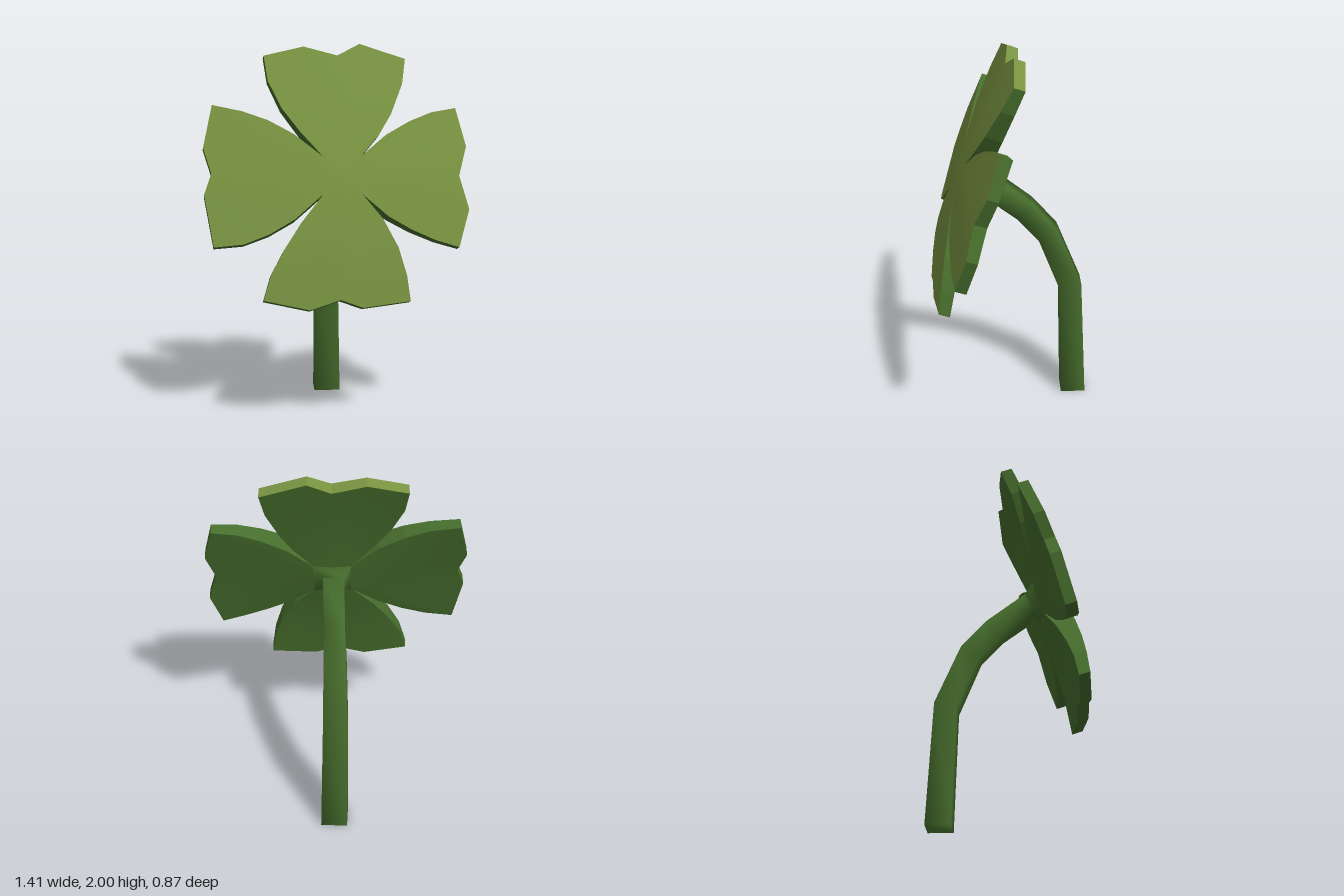
import * as THREE from 'three';

const CX = 0.02, CY = 1.32;
const NORMAL = new THREE.Vector3(0.06, 0.32, 0.94).normalize();

// Front leaf surface: a leaning, gently domed sheet, curled back more at the bottom
function frontPoint(x, y) {
  const dx = x - CX, dy = y - CY;
  const dome = 0.12 * dx * dx + 0.16 * dy * dy - 0.03 * dy ** 3;
  return new THREE.Vector3(x, y, 0.28 - 0.335 * dy - 0.068 * dx - dome);
}

// Back leaf surface: thick at the centre, thin at the tips
function backPoint(x, y) {
  const r = Math.hypot(x - CX, y - CY);
  return frontPoint(x, y).addScaledVector(NORMAL, -(0.15 - 0.13 * Math.min(r, 0.68)));
}

// Leaf outlines, clockwise from notch to notch; points 4 to 8 are the outer tip
const LEAVES = {
  topLeaf: [[-0.08, 1.425], [-0.195, 1.55], [-0.29, 1.67], [-0.36, 1.81], [-0.38, 1.94], [-0.167, 1.987],
    [0.013, 1.94], [0.135, 2.0], [0.38, 1.92], [0.358, 1.79], [0.29, 1.635], [0.225, 1.535], [0.125, 1.425]],
  leftLeaf: [[0.125, 1.425], [0.26, 1.53], [0.39, 1.597], [0.51, 1.64], [0.645, 1.66], [0.695, 1.46],
    [0.65, 1.31], [0.7, 1.135], [0.64, 0.942], [0.51, 0.985], [0.38, 1.045], [0.26, 1.115], [0.125, 1.23]],
  bottomLeaf: [[0.125, 1.23], [0.23, 1.105], [0.31, 0.955], [0.353, 0.81], [0.372, 0.675], [0.12, 0.65],
    [0.003, 0.695], [-0.157, 0.645], [-0.397, 0.698], [-0.358, 0.83], [-0.29, 0.955], [-0.2, 1.09], [-0.08, 1.235]],
  rightLeaf: [[-0.08, 1.235], [-0.23, 1.11], [-0.363, 1.035], [-0.496, 0.985], [-0.65, 0.97], [-0.698, 1.235],
    [-0.66, 1.34], [-0.702, 1.47], [-0.655, 1.687], [-0.496, 1.655], [-0.363, 1.61], [-0.23, 1.54], [-0.08, 1.425]],
};

function makeGeometry(points, index, flat = false) {
  let g = new THREE.BufferGeometry().setFromPoints(points);
  g.setIndex(index);
  if (flat) g = g.toNonIndexed();
  g.computeVertexNormals();
  return g;
}

// Sheet of concentric rings from the clover centre out to the outline
function sheet(outline, surface, isFront) {
  const pts = [surface(CX, CY)], idx = [], n = outline.length, rings = [0.3, 0.65, 1];
  const tri = (a, b, c) => (isFront ? idx.push(a, c, b) : idx.push(a, b, c));
  rings.forEach((t, k) => {
    for (const [x, y] of outline) pts.push(surface(CX + (x - CX) * t, CY + (y - CY) * t));
    const o = 1 + k * n, p = o - n;
    for (let i = 0; i < n - 1; i++) {
      if (k === 0) tri(0, o + i, o + i + 1);
      else {
        tri(p + i, o + i, o + i + 1);
        tri(p + i, o + i + 1, p + i + 1);
      }
    }
  });
  return makeGeometry(pts, idx);
}

// Edge band joining the front and back sheets
function rim(outline, from, to) {
  const pts = [], idx = [];
  for (let i = from; i <= to; i++) pts.push(frontPoint(...outline[i]), backPoint(...outline[i]));
  for (let i = 0; i < to - from; i++) {
    const a = 2 * i;
    idx.push(a, a + 2, a + 1, a + 1, a + 2, a + 3);
  }
  return makeGeometry(pts, idx, true);
}

// Square tube skinned over rings of four corners, with an optional end cap
function skin(rings, capped) {
  const idx = [], last = 4 * (rings.length - 1);
  for (let k = 0; k < rings.length - 1; k++) {
    for (let i = 0; i < 4; i++) {
      const a = 4 * k + i, b = 4 * k + (i + 1) % 4;
      idx.push(a, b, a + 4, b, b + 4, a + 4);
    }
  }
  if (capped) idx.push(last, last + 1, last + 2, last, last + 2, last + 3);
  return makeGeometry(rings.flat(), idx);
}

export function createModel() {
  const leafGreen = new THREE.MeshStandardMaterial({ color: 0x779240 });
  leafGreen.name = 'leafGreen';
  const stemGreen = new THREE.MeshStandardMaterial({ color: 0x476e2d });
  stemGreen.name = 'stemGreen';

  const model = new THREE.Group();
  model.name = 'clover';
  const add = (parent, name, geometry, material) => {
    const mesh = new THREE.Mesh(geometry, material);
    mesh.name = name;
    parent.add(mesh);
  };

  // Four notched leaves
  for (const [name, outline] of Object.entries(LEAVES)) {
    const leaf = new THREE.Group();
    leaf.name = name;
    add(leaf, 'leafFace', sheet(outline, frontPoint, true), leafGreen);
    add(leaf, 'leafBack', sheet(outline, backPoint, false), stemGreen);
    add(leaf, 'leafSideA', rim(outline, 0, 4), stemGreen);
    add(leaf, 'leafTip', rim(outline, 4, 8), name === 'topLeaf' ? leafGreen : stemGreen);
    add(leaf, 'leafSideB', rim(outline, 8, 12), stemGreen);
    model.add(leaf);
  }

  // Bent square stem: x, y, z, half width, half depth, angle below horizontal
  const path = [
    [0.005, 1.275, 0.11, 0.058, 0.062, 0.5],
    [-0.01, 1.12, -0.088, 0.055, 0.061, 0.72],
    [-0.018, 0.976, -0.215, 0.06, 0.06, 1.02],
    [-0.026, 0.663, -0.342, 0.066, 0.062, 1.36],
    [-0.022, 0, -0.367, 0.073, 0.068, Math.PI / 2],
  ];
  const rings = path.map(([x, y, z, w, d, a]) => {
    const up = new THREE.Vector3(0, Math.cos(a), -Math.sin(a));
    return [[-1, 1], [1, 1], [1, -1], [-1, -1]].map(([sx, su]) =>
      new THREE.Vector3(x + sx * w, y, z).addScaledVector(up, su * d));
  });
  add(model, 'stem', skin(rings, true), stemGreen);

  // Flared collar from the leaf notches to the stem
  const notches = Object.values(LEAVES).map((outline) => backPoint(...outline[0]));
  add(model, 'stemCollar', skin([notches, rings[0]], false), stemGreen);

  return model;
}
